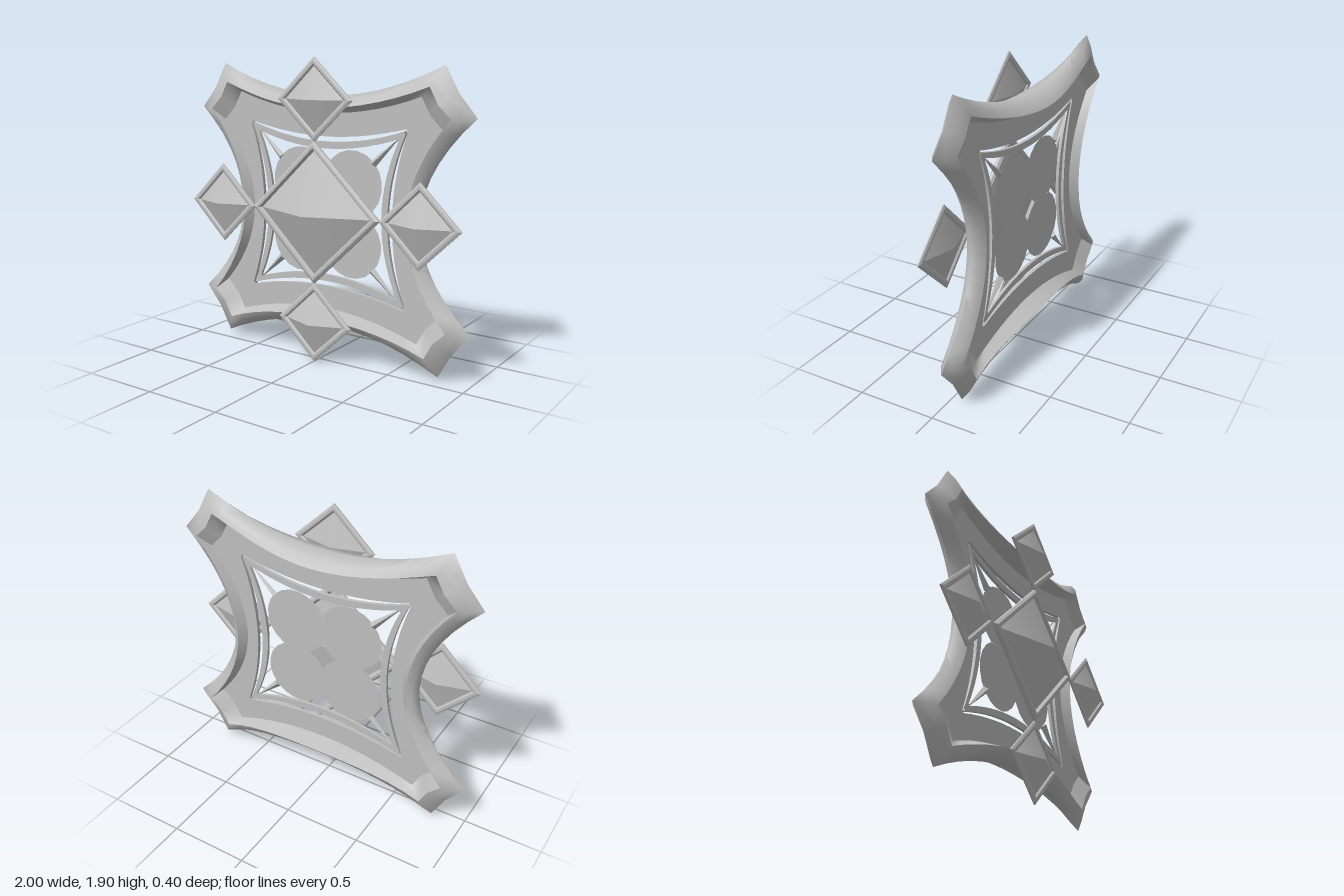
import * as THREE from 'three';
import { toCreasedNormals } from 'three/addons/utils/BufferGeometryUtils.js';

const CY = 0.945;   // height of the frame centre
const CZ = -0.075;  // depth of the frame's middle plane
const N = 14;       // segments along each curved side

// Skin a list of equal-length closed loops; counter-clockwise loops going inward face +z.
function loft(loops, crease = 1.2) {
  const n = loops[0].length, index = [];
  for (let i = 0; i < loops.length - 1; i++) {
    for (let j = 0; j < n; j++) {
      const k = (j + 1) % n, a = i * n, b = a + n;
      index.push(a + j, a + k, b + k, a + j, b + k, b + j);
    }
  }
  const g = new THREE.BufferGeometry();
  g.setAttribute('position', new THREE.Float32BufferAttribute(loops.flat(2), 3));
  g.setIndex(index);
  return toCreasedNormals(g, crease);
}

// Four-sided star outline with concave sides and cut-off corners.
// z is the half depth, bulge the extra half depth halfway along the top and bottom sides.
function outline({ top, topMid, side, sideMid, z = 0, bulge = 0 }, face = 1) {
  const pts = [];
  const add = (x, y, t) => pts.push([x, CY + y, CZ + face * (z + bulge * (1 - t * t) ** 2)]);
  const cut = (sx, sy) => add(sx * ((top[0] + side[0]) / 2 - 0.012), sy * ((top[1] + side[1]) / 2 - 0.012), 1);
  for (const s of [1, -1]) {
    for (let i = 0; i <= N; i++) {
      const t = 1 - 2 * i / N;
      add(s * top[0] * t, s * (topMid + (top[1] - topMid) * t * t), t);
    }
    cut(-s, s);
    for (let i = 0; i <= N; i++) {
      const t = 1 - 2 * i / N;
      add(-s * (sideMid + (side[0] - sideMid) * t * t), s * side[1] * t, 1);
    }
    cut(-s, -s);
  }
  return pts;
}

// Diamond-shaped loop for the settings.
const diamondLoop = (r, z) => [[r, 0, z], [0, r, z], [-r, 0, z], [0, -r, z]];

// Half of a stone (upper or lower): two facets sharing smooth normals.
function stoneHalf(r, base, apex, s) {
  const g = new THREE.BufferGeometry();
  g.setAttribute('position', new THREE.Float32BufferAttribute(
    [r, 0, base, 0, s * r, base, -r, 0, base, 0, 0, apex], 3));
  const ccw = s * Math.sign(apex - base) > 0;
  g.setIndex(ccw ? [0, 1, 3, 1, 2, 3] : [1, 0, 3, 2, 1, 3]);
  g.computeVertexNormals();
  return g;
}

export function createModel() {
  const model = new THREE.Group();
  const metal = new THREE.MeshStandardMaterial({ color: 0xbfbfbf, side: THREE.DoubleSide });
  metal.name = 'silver grey';
  const mesh = (name, geometry, parent = model) => {
    const m = new THREE.Mesh(geometry, metal);
    m.name = name;
    parent.add(m);
    return m;
  };

  // Frame contours, from the outer edge to the opening
  const outer = { top: [0.8, 0.915], topMid: 0.725, side: [1, 0.625], sideMid: 0.66 };
  const ridge = { top: [0.735, 0.795], topMid: 0.655, side: [0.87, 0.617], sideMid: 0.6, z: 0.065, bulge: 0.058 };
  const round = { top: [0.77, 0.858], topMid: 0.695, side: [0.938, 0.622], sideMid: 0.635, z: 0.042, bulge: 0.045 };
  const bevel = { top: [0.66, 0.735], topMid: 0.62, side: [0.8, 0.548], sideMid: 0.56, z: 0.012 };
  const opening = { top: [0.57, 0.55], topMid: 0.475, side: [0.58, 0.54], sideMid: 0.48, z: 0.012 };

  // Frame
  const frame = new THREE.Group();
  frame.name = 'frame';
  model.add(frame);
  mesh('frameRim', loft([outline(ridge, -1), outline(round, -1), outline(outer), outline(round), outline(ridge)]), frame);
  mesh('frameFrontBevel', loft([outline(ridge), outline(bevel)]), frame);
  mesh('frameBackBevel', loft([outline(bevel, -1), outline(ridge, -1)]), frame);
  mesh('framePlate', loft([outline(bevel), outline(opening), outline(opening, -1), outline(bevel, -1)]), frame);

  // Thin inner ring inside the opening
  const ringOut = { top: [0.557, 0.535], topMid: 0.443, side: [0.565, 0.527], sideMid: 0.447, z: 0.01 };
  const ringIn = { top: [0.512, 0.488], topMid: 0.4, side: [0.518, 0.482], sideMid: 0.405, z: 0.01 };
  mesh('innerRing', loft([
    outline(ringOut), outline(ringIn), outline(ringIn, -1), outline(ringOut, -1), outline(ringOut),
  ]));

  // Four petals, clipped to their quadrants so a star-shaped gap stays in the middle, and corner spikes
  for (const sx of [1, -1]) {
    for (const sy of [1, -1]) {
      const pts = [];
      for (let i = 0; i < 20; i++) {
        const a = (i + 0.5) * Math.PI / 10;
        pts.push(new THREE.Vector2(
          sx * Math.max(0, 0.19 + 0.212 * Math.cos(a)), sy * Math.max(0, 0.19 + 0.212 * Math.sin(a))));
      }
      mesh('petal', new THREE.ShapeGeometry(new THREE.Shape(pts))).position.set(0, CY, CZ);

      const spike = mesh('cornerSpike', new THREE.ConeGeometry(0.024, 0.26, 4).toNonIndexed());
      spike.geometry.computeVertexNormals();
      spike.position.set(sx * 0.435, CY + sy * 0.418, CZ);
      spike.rotation.z = Math.atan2(-sx, sy * 0.95);
    }
  }

  // Diamond settings: bevelled rim around a pyramid stone, pointed front and back
  function setting(name, x, y, rx, ry, rim, depth, front, back) {
    const group = new THREE.Group();
    group.name = name;
    group.position.set(x, y, 0.055);
    group.scale.set(1, ry / rx, 1);
    model.add(group);
    const r = rx, d = depth, w = rim;
    mesh('rim', loft([
      diamondLoop(r, -d * 0.4), diamondLoop(r, d * 0.4), diamondLoop(r - w * 0.35, d),
      diamondLoop(r - w * 0.7, d), diamondLoop(r - w, 0),
      diamondLoop(r - w * 0.7, -d), diamondLoop(r - w * 0.35, -d), diamondLoop(r, -d * 0.4),
    ], 0.3), group);
    for (const s of [1, -1]) {
      mesh('stoneFront', stoneHalf(r - w * 0.9, 0, front, s), group);
      mesh('stoneBack', stoneHalf(r - w * 0.9, 0, back, s), group);
    }
  }
  setting('mainDiamond', 0, 0.957, 0.465, 0.445, 0.065, 0.02, 0.145, -0.063);
  setting('topDiamond', 0, 1.65, 0.27, 0.253, 0.06, 0.011, 0.077, -0.055);
  setting('bottomDiamond', 0, 0.258, 0.27, 0.255, 0.06, 0.011, 0.077, -0.055);
  for (const s of [1, -1]) {
    setting(s > 0 ? 'leftDiamond' : 'rightDiamond', s * 0.725, 0.955, 0.265, 0.257, 0.06, 0.011, 0.072, -0.055);
  }
  return model;
}
